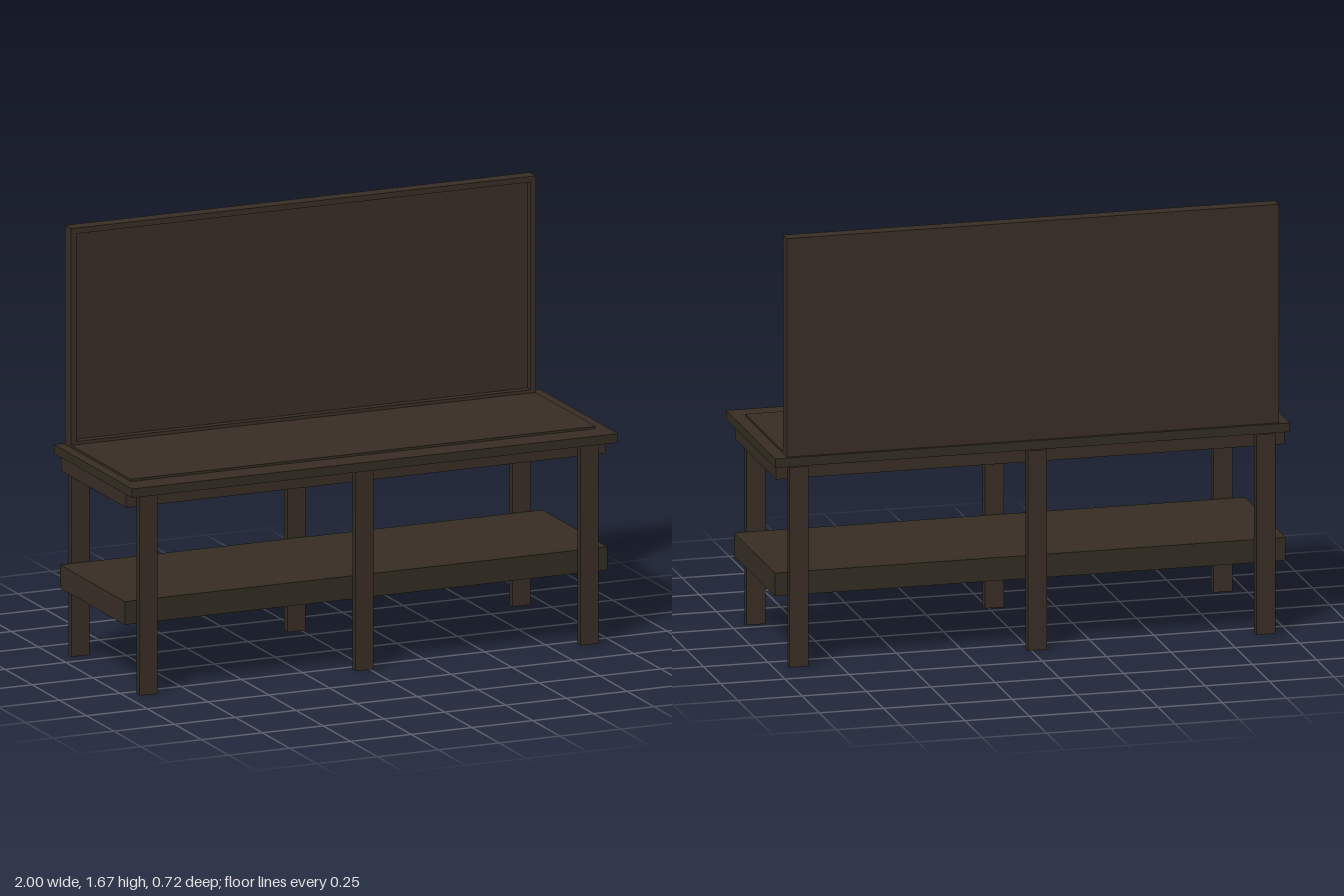
import * as THREE from 'three';

export function createModel() {
  const model = new THREE.Group();
  model.name = 'workbench';

  const wood = new THREE.MeshStandardMaterial({ color: 0x372d24 });
  wood.name = 'dark brown wood';
  const edge = new THREE.MeshStandardMaterial({ color: 0x332d21 });
  edge.name = 'olive brown edge';

  // Face order for material arrays: +x, -x, +y, -y, +z, -z
  const edgeSides = [edge, edge, wood, wood, edge, edge];
  const edgeEnds = [edge, edge, wood, wood, wood, wood];

  // Box given by its limits along each axis
  function board(parent, name, [x0, x1], [y0, y1], [z0, z1], material = wood) {
    const mesh = new THREE.Mesh(new THREE.BoxGeometry(x1 - x0, y1 - y0, z1 - z0), material);
    mesh.position.set((x0 + x1) / 2, (y0 + y1) / 2, (z0 + z1) / 2);
    mesh.name = name;
    parent.add(mesh);
  }

  // Four boards around a rectangle, open in the middle
  function railFrame(name, [x0, x1], y, [z0, z1], t, longMaterial) {
    const group = new THREE.Group();
    group.name = name;
    board(group, 'frontRail', [x0, x1], y, [z1 - t, z1], longMaterial);
    board(group, 'backRail', [x0, x1], y, [z0, z0 + t], longMaterial);
    board(group, 'leftEndRail', [x1 - t, x1], y, [z0 + t, z1 - t]);
    board(group, 'rightEndRail', [x0, x0 + t], y, [z0 + t, z1 - t]);
    model.add(group);
    return group;
  }

  // Worktop with a thin raised sheet on it
  board(model, 'worktop', [-1, 1], [0.785, 0.82], [-0.36, 0.36], edgeSides);
  board(model, 'worktopSheet', [-0.96, 0.952], [0.82, 0.829], [-0.29, 0.258], edgeSides);

  // Apron under the worktop
  railFrame('apron', [-0.99, 0.985], [0.727, 0.785], [-0.315, 0.282], 0.03, wood);

  // Lower shelf: rails with a deck let in flush at the top
  const shelf = railFrame('lowerShelf', [-0.995, 0.99], [0.273, 0.363], [-0.315, 0.282], 0.03, edge);
  board(shelf, 'shelfDeck', [-0.965, 0.96], [0.343, 0.363], [-0.285, 0.252]);

  // Three pairs of legs
  for (const x of [-0.91, -0.022, 0.904]) {
    const span = [x - 0.037, x + 0.037];
    board(model, 'frontLeg', span, [0, 0.778], [0.282, 0.312], edgeEnds);
    board(model, 'backLeg', span, [0, 0.778], [-0.345, -0.315], edgeEnds);
  }

  // Back panel: a sheet behind a slim raised frame
  const back = new THREE.Group();
  back.name = 'backPanel';
  model.add(back);
  const [left, right, bottom, top, rim] = [-0.96, 0.952, 0.82, 1.67, 0.022];
  const depth = [-0.32, -0.29];
  board(back, 'panelSheet', [left, right], [bottom, top], [-0.347, -0.32]);
  board(back, 'topFrame', [left, right], [top - rim, top], depth);
  board(back, 'bottomFrame', [left, right], [bottom, bottom + rim], depth);
  board(back, 'rightFrame', [left, left + rim], [bottom + rim, top - rim], depth);
  board(back, 'leftFrame', [right - rim, right], [bottom + rim, top - rim], depth);

  return model;
}
